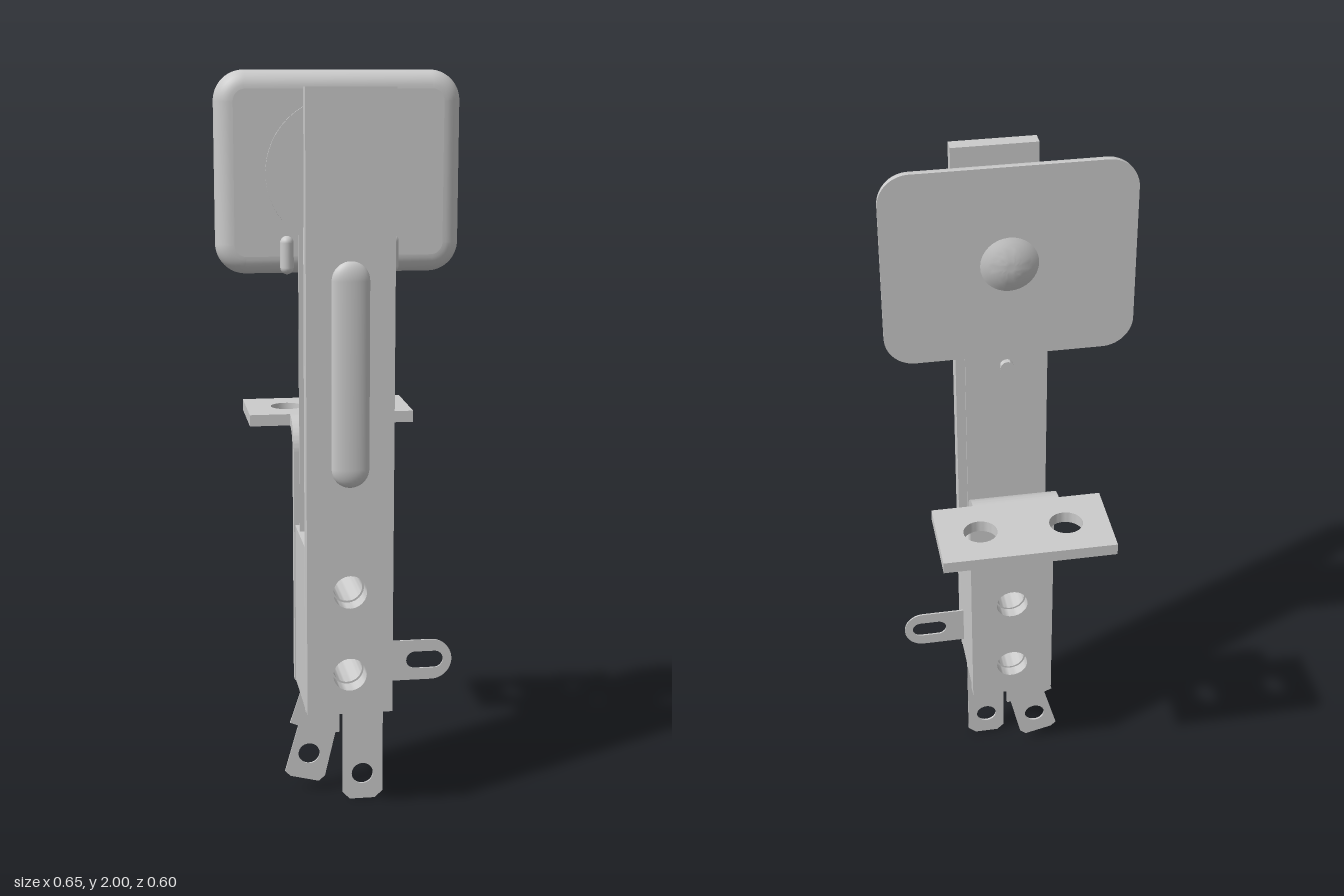
import * as THREE from 'three';
import { toCreasedNormals, mergeVertices } from 'three/addons/utils/BufferGeometryUtils.js';

const mat = new THREE.MeshStandardMaterial({ color: 0xcccccc, side: THREE.DoubleSide });
const SCREWS = [[0, 0.655, 0.045], [0, 0.425, 0.045]];

export function createModel() {
  const group = new THREE.Group();
  const add = (name, geo, x = 0, y = 0, z = 0, parent = group) => {
    const m = new THREE.Mesh(geo, mat);
    m.name = name;
    m.position.set(x, y, z);
    parent.add(m);
    return m;
  };
  const poly = pts => new THREE.Shape(pts.map(p => new THREE.Vector2(...p)));
  const rect = (x0, y0, x1, y1) => poly([[x0, y0], [x1, y0], [x1, y1], [x0, y1]]);
  const drill = (shape, holes) => {
    for (const [x, y, r] of holes) shape.holes.push(new THREE.Path().absarc(x, y, r, 0, Math.PI * 2, true));
    return shape;
  };
  // Flat part cut in the xy plane, between two depths
  const sheet = (name, shape, z0, z1) => add(name,
    toCreasedNormals(new THREE.ExtrudeGeometry(shape, { depth: z1 - z0, bevelEnabled: false, curveSegments: 20 }), 0.5), 0, 0, z0);
  // Turned part on the z axis; profile is [radius, z]
  const turned = (name, profile, y) => {
    const g = new THREE.LatheGeometry(profile.map(p => new THREE.Vector2(...p)), 32);
    g.rotateX(Math.PI / 2);
    return add(name, toCreasedNormals(g, 0.6), 0, y, 0);
  };

  // Front stiffener bar with embossed rib
  sheet('frontBar', drill(rect(-0.115, 0.315, 0.115, 1.96), SCREWS), 0.24, 0.28);
  const rib = new THREE.CapsuleGeometry(0.05, 0.49, 10, 28);
  rib.scale(1, 1, 0.44);
  add('frontRib', rib, 0, 1.235, 0.278);

  // Backing strip with a tapered top
  sheet('backingStrip', drill(poly([[-0.115, 0.305], [0.115, 0.305], [0.115, 1.61], [0.077, 1.69],
    [-0.077, 1.69], [-0.115, 1.61]]), SCREWS), 0.228, 0.24);

  // Insulating block clamping the leaves
  sheet('insulatorBlock', drill(rect(-0.115, 0.315, 0.115, 0.77),
    SCREWS.map(([x, y]) => [x, y, 0.04])), 0.016, 0.228);

  // Front contact leaf and its solder tab
  sheet('frontLeaf', rect(-0.077, 0.76, 0.077, 1.48), 0.141, 0.147);
  sheet('frontTab', drill(poly([[0.02, 0.005], [0.09, 0.005], [0.112, 0.025], [0.112, 0.33], [0, 0.33],
    [0, 0.025]]), [[0.055, 0.08, 0.03]]), 0.141, 0.147);

  // Rear contact leaf ending in a round head, with an angled solder tab
  const a = 0.6;
  const rear = new THREE.Shape();
  rear.moveTo(-0.11, 0.76);
  rear.lineTo(0.11, 0.76);
  rear.absarc(0, 1.738, 0.195, -Math.PI / 2 + a, 1.5 * Math.PI - a, false);
  rear.closePath();
  sheet('rearLeaf', rear, 0.073, 0.08);
  sheet('rearTab', drill(poly([[-0.112, 0.33], [-0.112, 0.3], [-0.14, 0.215], [-0.117, 0.205], [-0.155, 0.07],
    [-0.14, 0.055], [-0.06, 0.035], [-0.042, 0.05], [-0.012, 0.18], [0, 0.18], [0, 0.33]]),
    [[-0.087, 0.12, 0.03]]), 0.077, 0.083);

  // Side solder lug with a slot
  const lug = new THREE.Shape();
  lug.moveTo(0.1, 0.366);
  lug.lineTo(0.238, 0.366);
  lug.absarc(0.238, 0.423, 0.057, -Math.PI / 2, Math.PI / 2, false);
  lug.lineTo(0.1, 0.48);
  const slot = new THREE.Path();
  slot.absarc(0.193, 0.423, 0.024, Math.PI * 1.5, Math.PI / 2, true);
  slot.absarc(0.247, 0.423, 0.024, Math.PI / 2, -Math.PI / 2, true);
  slot.closePath();
  lug.holes.push(slot);
  sheet('sideLug', lug, 0.183, 0.188);

  // Contact rivets facing each other
  turned('frontContact', [[0, 0.113], [0.02, 0.115], [0.037, 0.122], [0.037, 0.137], [0.03, 0.141],
    [0.018, 0.141], [0.018, 0.165], [0, 0.165]], 1.41);
  turned('rearContact', [[0, 0.058], [0.018, 0.058], [0.018, 0.08], [0.037, 0.083], [0.037, 0.096],
    [0.02, 0.103], [0, 0.105]], 1.41);

  // Mounting bracket: upright, bend and foot
  const bracket = new THREE.Group();
  bracket.name = 'mountingBracket';
  group.add(bracket);
  bracket.add(sheet('bracketUpright', drill(rect(-0.118, 0.315, 0.118, 0.978), SCREWS), -0.016, 0.016));
  const bend = new THREE.Shape();
  bend.absarc(-0.072, 0.978, 0.088, 0, Math.PI / 2, false);
  bend.absarc(-0.072, 0.978, 0.056, Math.PI / 2, 0, true);
  bend.closePath();
  const bendGeo = new THREE.ExtrudeGeometry(bend, { depth: 0.236, bevelEnabled: false, curveSegments: 16 });
  bendGeo.rotateY(-Math.PI / 2);
  add('bracketBend', toCreasedNormals(bendGeo, 0.5), 0.118, 0, 0, bracket);
  const foot = drill(rect(-0.23, 0.072, 0.23, 0.302), [[-0.115, 0.187, 0.045], [0.115, 0.187, 0.045]]);
  const footGeo = new THREE.ExtrudeGeometry(foot, { depth: 0.032, bevelEnabled: false, curveSegments: 20 });
  footGeo.rotateX(-Math.PI / 2);
  add('bracketFoot', toCreasedNormals(footGeo, 0.5), 0, 1.034, 0, bracket);

  // Push pad: flat at the back, rounded over toward the front
  const pad = new THREE.Group();
  pad.name = 'pushPad';
  pad.position.set(0, 1.737, 0);
  group.add(pad);
  const outline = inset => {
    const w = 0.325 - inset, h = 0.264 - inset, r = 0.08 - inset, s = new THREE.Shape(), q = Math.PI / 2;
    [[1, 1], [-1, 1], [-1, -1], [1, -1]].forEach(([sx, sy], i) =>
      s.absarc(sx * (w - r), sy * (h - r), r, i * q, (i + 1) * q, false));
    s.closePath();
    return s;
  };
  const rings = [[0, 0.022]];
  for (let i = 0; i <= 8; i++) {
    const t = i / 8 * Math.PI / 2;
    rings.push([0.048 * (1 - Math.cos(t)), 0.03 + 0.043 * Math.sin(t)]);
  }
  const pos = [], idx = [];
  let n = 0;
  for (const [inset, z] of rings) {
    const pts = outline(inset).getPoints(10);
    n = pts.length;
    pts.forEach(p => pos.push(p.x, p.y, z));
  }
  for (let r = 0; r < rings.length - 1; r++) for (let i = 0; i < n - 1; i++) {
    const p = r * n + i, u = p + n;
    idx.push(p, p + 1, u + 1, p, u + 1, u);
  }
  let rim = new THREE.BufferGeometry();
  rim.setAttribute('position', new THREE.Float32BufferAttribute(pos, 3));
  rim.setIndex(idx);
  rim = mergeVertices(rim);
  rim.computeVertexNormals();
  add('padRim', rim, 0, 0, 0, pad);
  add('padFront', new THREE.ShapeGeometry(outline(0.048), 10), 0, 0, 0.073, pad);
  add('padBack', new THREE.ShapeGeometry(outline(0), 10), 0, 0, 0.022, pad).rotation.y = Math.PI;

  // Pad rivet: domed head behind, button in front
  const dome = [];
  for (let i = 0; i <= 8; i++) dome.push([0.075 * i / 8, 0.022 - 0.021 * (1 - (i / 8) ** 2)]);
  turned('rivetDome', dome, 1.737);
  turned('rivetButton', [[0, 0.078], [0.045, 0.078], [0.053, 0.084], [0.055, 0.092], [0.052, 0.1],
    [0.044, 0.105], [0, 0.105]], 1.737);

  // Locating nubs at the lower edge of the pad
  for (const s of [-1, 1]) {
    add('locatingNub', new THREE.CapsuleGeometry(0.018, 0.065, 8, 16), s * 0.14, 1.525, 0.077);
  }
  return group;
}
